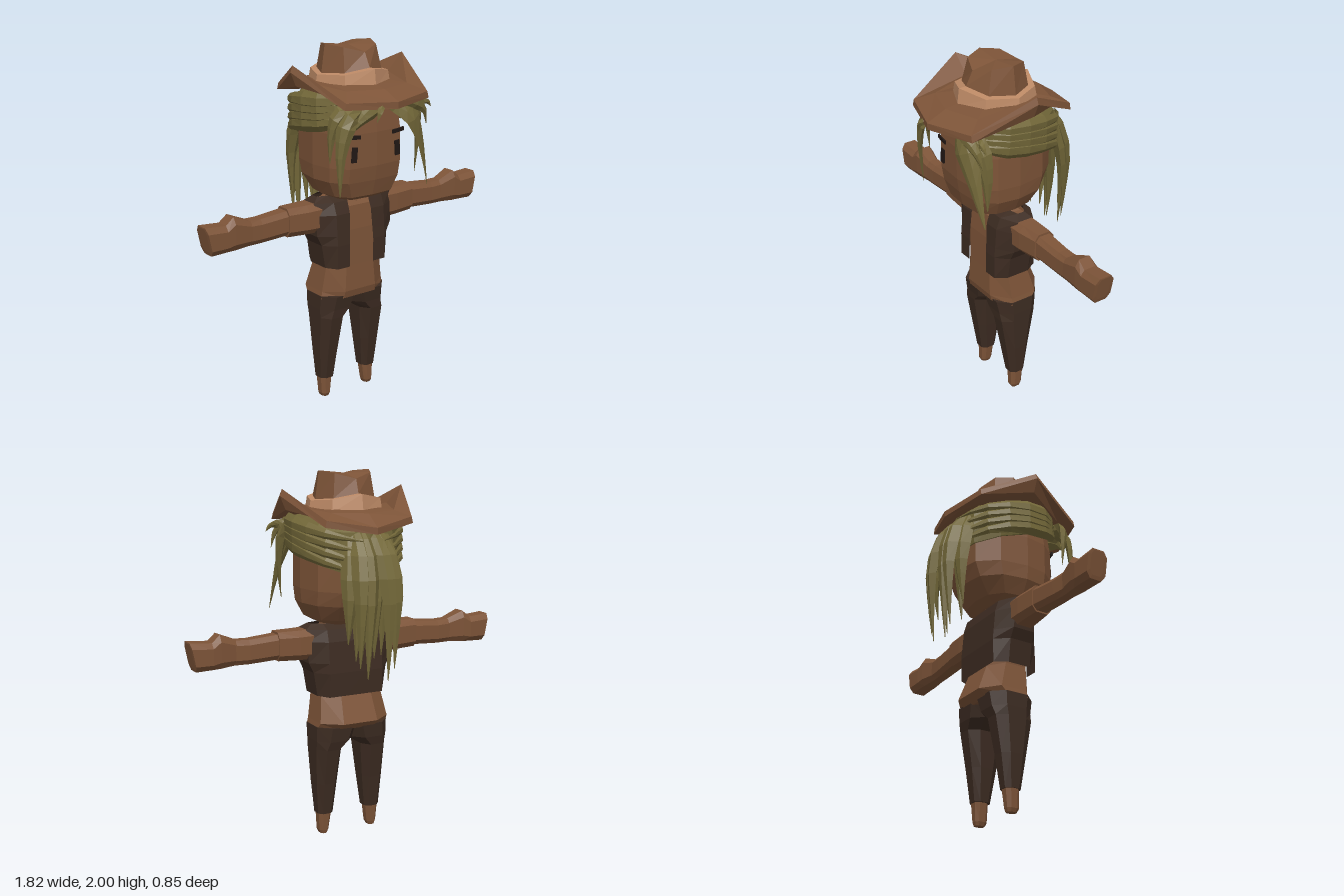
import * as THREE from 'three';

const mat = (name, color, side = THREE.FrontSide) => {
  const m = new THREE.MeshStandardMaterial({ color, side });
  m.name = name;
  return m;
};
const V = (x, y, z) => new THREE.Vector3(x, y, z);

// Faceted solid through a list of rings; the facing is set from the signed volume.
function loft(rings, { caps = true, closed = true } = {}) {
  const tris = [], n = rings[0].length, last = closed ? n : n - 1;
  for (let r = 0; r < rings.length - 1; r++) {
    for (let i = 0; i < last; i++) {
      const j = (i + 1) % n;
      const a = rings[r][i], b = rings[r][j], c = rings[r + 1][j], d = rings[r + 1][i];
      tris.push([a, b, c], [a, c, d]);
    }
  }
  const middle = (pts) => pts.reduce((s, p) => s.add(p), V(0, 0, 0)).divideScalar(pts.length);
  if (caps) {
    const first = rings[0], end = rings[rings.length - 1];
    const c0 = middle(first), c1 = middle(end);
    for (let i = 0; i < n; i++) {
      const j = (i + 1) % n;
      tris.push([c0, first[j], first[i]], [c1, end[i], end[j]]);
    }
  }
  const mid = middle(rings.flat());
  let volume = 0;
  for (const [a, b, c] of tris) {
    volume += a.clone().sub(mid).dot(b.clone().sub(mid).cross(c.clone().sub(mid)));
  }
  const pts = tris.flatMap(([a, b, c]) => (volume < 0 ? [a, c, b] : [a, b, c]));
  const g = new THREE.BufferGeometry().setFromPoints(pts);
  g.computeVertexNormals();
  return g;
}

// Chamfered rectangle in two dimensions
function oct(a0, a1, b0, b1, k = 0.25) {
  const p = (a1 - a0) * k, q = (b1 - b0) * k;
  return [[a0 + p, b0], [a1 - p, b0], [a1, b0 + q], [a1, b1 - q],
    [a1 - p, b1], [a0 + p, b1], [a0, b1 - q], [a0, b0 + q]];
}
const level = ([y, x0, x1, z0, z1]) => oct(x0, x1, z0, z1).map(([x, z]) => V(x, y, z));
const slice = ([x, y0, y1, z0, z1, lean = 0], s) =>
  oct(y0, y1, z0, z1, 0.2).map(([y, z]) => V(s * (x + lean * (y - y0)), y, z));

// Ring from a half outline of [x, z] fractions, mirrored in x
const HEAD = [[0, 1], [0.66, 0.95], [0.93, 0.6], [1, 0.1], [0.9, -0.5], [0.55, -0.9], [0, -1]];
function headRing(y, rx, zf, zb, lift = () => 0) {
  const outline = [...HEAD, ...HEAD.slice(1, -1).reverse().map(([x, z]) => [-x, z])];
  return outline.map(([x, f]) => {
    const z = f * (f > 0 ? zf : zb);
    return V(x * rx, y + lift(z), z);
  });
}

// Flat tapering lock of hair lying around the head
function lock(points, width, thick = 0.025) {
  const curve = new THREE.CatmullRomCurve3(points.map((p) => V(...p)));
  const rings = [];
  for (let i = 0; i <= 7; i++) {
    const t = i / 7, p = curve.getPoint(t);
    const out = V(p.x, 0, p.z).normalize();
    const across = curve.getTangent(t).cross(out).normalize();
    const size = Math.min(1, 0.55 + t * 1.8) * Math.min(1, 0.04 + (1 - t) * 1.7);
    const at = (u, v) => p.clone().addScaledVector(across, u * width * size / 2).addScaledVector(out, v * thick * size);
    rings.push([at(-1, -0.3), at(-0.35, 1), at(0.45, 0.8), at(1, -0.3), at(0, -0.8)]);
  }
  return loft(rings);
}

export function createModel() {
  const model = new THREE.Group();
  model.name = 'cowhand';
  const brown = mat('brown', 0x7d5438);
  const dark = mat('dark leather', 0x3d2c22, THREE.DoubleSide);
  const blond = mat('dull blond', 0x736839);
  const tan = mat('tan', 0xbd8a66);
  const black = mat('eye black', 0x211815);
  const add = (name, geometry, material) => {
    const m = new THREE.Mesh(geometry, material);
    m.name = name;
    model.add(m);
    return m;
  };

  // Legs, feet and arms, mirrored
  for (const s of [1, -1]) {
    const side = s > 0 ? 'left' : 'right';
    const limb = (rows) => loft(rows.map((r) => level(r).map((p) => V(p.x * s, p.y, p.z))));
    add(side + 'TrouserLeg', limb([
      [0.12, 0.1, 0.19, -0.075, 0.02], [0.3, 0.08, 0.203, -0.1, 0.05], [0.5, 0.06, 0.212, -0.135, 0.085],
      [0.55, 0, 0.214, -0.15, 0.09], [0.63, -0.03, 0.214, -0.16, 0.105]]), dark);
    add(side + 'Foot', limb([
      [0, 0.13, 0.17, -0.055, 0.0], [0.02, 0.122, 0.178, -0.06, 0.01], [0.13, 0.108, 0.185, -0.07, 0.012]]), brown);
    const arm = (rows) => loft(rows.map((r) => slice(r, s)));
    add(side + 'Sleeve', arm([
      [0.15, 1.0, 1.17, -0.08, 0.07], [0.3, 1.005, 1.165, -0.08, 0.065], [0.42, 1.01, 1.165, -0.07, 0.052]]), brown);
    add(side + 'Forearm', arm([
      [0.4, 1.02, 1.155, -0.065, 0.045], [0.58, 1.01, 1.14, -0.055, 0.04], [0.7, 1.01, 1.145, -0.045, 0.04]]), brown);
    add(side + 'Hand', arm([
      [0.64, 1.012, 1.14, -0.045, 0.04], [0.745, 1.004, 1.183, -0.065, 0.048], [0.79, 1.003, 1.145, -0.07, 0.048],
      [0.88, 1.0, 1.155, -0.068, 0.048, 0.2], [0.886, 1.02, 1.148, -0.05, 0.03, 0.2]]), brown);
  }

  // Shirt and neck
  add('shirt', loft([
    [0.615, -0.213, 0.213, -0.15, 0.105], [0.655, -0.205, 0.205, -0.195, 0.115], [0.8, -0.183, 0.183, -0.14, 0.11],
    [1.0, -0.19, 0.19, -0.125, 0.105], [1.13, -0.2, 0.2, -0.11, 0.09], [1.193, -0.13, 0.13, -0.06, 0.04]].map(level)), brown);
  add('neck', new THREE.CylinderGeometry(0.075, 0.09, 0.1, 8).toNonIndexed().translate(0, 1.18, -0.01), brown)
    .geometry.computeVertexNormals();

  // Open vest: rows of y, half width, front z, back z, front opening
  const vest = [
    [0.8, 0.2, 0.125, -0.14, 0.08], [0.93, 0.222, 0.125, -0.145, 0.08], [0.985, 0.25, 0.12, -0.14, 0.078],
    [1.1, 0.258, 0.112, -0.13, 0.072], [1.165, 0.257, 0.088, -0.11, 0.07], [1.192, 0.215, 0.025, -0.06, 0.07]];
  add('vest', loft(vest.map(([y, w, f, b, open]) => {
    const half = [[open, f], [0.16, f], [w, f * 0.5], [w, b * 0.5], [0.16, b], [0.06, b]];
    return [...half, ...half.slice().reverse().map(([x, z]) => [-x, z])].map(([x, z]) => V(x, y, z));
  }), { caps: false, closed: false }), dark);

  // Head
  add('head', loft([
    headRing(1.185, 0.14, 0.16, 0.1), headRing(1.215, 0.2, 0.215, 0.16), headRing(1.3, 0.245, 0.238, 0.235),
    headRing(1.38, 0.252, 0.25, 0.27), headRing(1.56, 0.25, 0.25, 0.275), headRing(1.68, 0.235, 0.235, 0.25),
    headRing(1.78, 0.17, 0.17, 0.18)]), brown);

  // Eyes and brows
  for (const s of [1, -1]) {
    const eye = add('eye', new THREE.BoxGeometry(0.032, 0.08, 0.009), black);
    eye.position.set(s * 0.142, 1.455, 0.243);
    eye.rotation.set(0, s * 0.076, s * 0.08);
    const brow = add('brow', new THREE.BoxGeometry(0.085, 0.02, 0.009), black);
    brow.position.set(s * 0.148, 1.548, 0.242);
    brow.rotation.set(0, s * 0.15, s * 0.06);
  }

  // Hair cap, lifted over the forehead
  const lift = (k) => (z) => k * z + (z > 0 ? 3.3 * k * z * z : 0);
  add('hairCap', loft([
    headRing(1.57, 0.262, 0.255, 0.285, lift(0.32)), headRing(1.64, 0.28, 0.275, 0.3, lift(0.2)),
    headRing(1.72, 0.265, 0.27, 0.29, lift(0.08)), headRing(1.79, 0.19, 0.2, 0.2)]), blond);

  // Locks swept along both sides to the back
  for (const s of [1, -1]) {
    for (let k = 0; k < 4; k++) {
      const y = 1.735 - k * 0.035;
      add('sideLock', lock([
        [s * (0.13 + k * 0.03), y + 0.01, 0.28 - k * 0.02], [s * 0.27, y - 0.005, 0.14], [s * 0.285, y - 0.02 - k * 0.005, -0.05],
        [s * 0.21, y - 0.05 - k * 0.014, -0.24], [s * 0.06, y - 0.08 - k * 0.02, -0.33]], 0.1, 0.02), blond);
    }
  }

  // Fringe locks
  const fringe = [
    [[[0.04, 1.74, 0.27], [0.16, 1.67, 0.31], [0.24, 1.5, 0.31], [0.315, 1.235, 0.29]], 0.14],
    [[[0.1, 1.74, 0.27], [0.23, 1.66, 0.27], [0.27, 1.5, 0.25], [0.265, 1.3, 0.24]], 0.11],
    [[[0.02, 1.75, 0.29], [0.16, 1.72, 0.32], [0.26, 1.66, 0.31], [0.3, 1.57, 0.29]], 0.08],
    [[[-0.08, 1.73, 0.27], [-0.22, 1.66, 0.3], [-0.27, 1.5, 0.3], [-0.27, 1.26, 0.29]], 0.1],
    [[[-0.12, 1.74, 0.27], [-0.25, 1.68, 0.26], [-0.285, 1.58, 0.24], [-0.29, 1.43, 0.23]], 0.08],
    [[[0.05, 1.73, 0.29], [-0.07, 1.7, 0.31], [-0.15, 1.65, 0.31], [-0.22, 1.57, 0.28]], 0.09],
    [[[-0.02, 1.72, 0.29], [-0.06, 1.73, 0.36], [-0.1, 1.7, 0.4], [-0.12, 1.65, 0.4]], 0.05],
    [[[0.2, 1.69, 0.24], [0.26, 1.7, 0.28], [0.3, 1.69, 0.29], [0.33, 1.66, 0.29]], 0.05]];
  for (const [points, width] of fringe) add('fringeLock', lock(points, width), blond);

  // Ponytail: spread, depth and tip height of each lock
  const tail = [
    [-0.14, -0.33, 1.1], [-0.1, -0.385, 0.98], [-0.06, -0.39, 0.92], [0, -0.345, 1.04],
    [0.06, -0.39, 0.94], [0.1, -0.38, 1.0], [0.14, -0.32, 1.12], [-0.07, -0.295, 1.04], [0.08, -0.295, 1.02]];
  for (const [x, z, tip] of tail) {
    add('ponytailLock', lock([
      [x * 0.6, 1.73, -0.22], [x * 0.75, 1.61, z * 0.75 - 0.04], [x * 0.95, 1.4, z - 0.005],
      [x, (1.4 + tip) / 2, z - 0.005], [x, tip, z + 0.01]], 0.11, 0.035), blond);
  }

  // Hat brim: right half outline of x, y, z from the front round to the back
  const full = (half) => [...half, ...half.slice(1, -1).reverse().map(([x, y, z]) => [-x, y, z])].map((p) => V(...p));
  const edge = [[0, 1.745, 0.42], [0.265, 1.755, 0.335], [0.36, 1.91, 0.01], [0.25, 1.765, -0.285], [0, 1.725, -0.365]];
  const under = [[0, 1.755, 0.32], [0.22, 1.75, 0.255], [0.34, 1.8, 0.01], [0.2, 1.75, -0.215], [0, 1.75, -0.28]];
  const shaped = (k, y, mix) => full(edge.map(([x, ey, z]) => [x * k, y + (ey - y) * mix, z * k]));
  const inner = shaped(0.48, 1.81, 0);
  add('hatBrim', loft([
    inner, shaped(0.74, 1.80, 0.12), full(edge), full(edge.map(([x, y, z]) => [x * 1.035, y - 0.035, z])),
    full(under), shaped(0.48, 1.765, 0), inner], { caps: false }), brown);

  // Hat band and crown with a creased top
  const eight = (rx, zf, zb, height) => Array.from({ length: 8 }, (_, i) => {
    const a = (i * Math.PI) / 4, x = Math.sin(a) * rx, c = Math.cos(a);
    return V(x, height(x), c * (c > 0 ? zf : zb));
  });
  const slope = (x) => 1.885 - 0.2 * Math.abs(x);
  add('hatBand', loft([
    eight(0.21, 0.24, 0.215, () => 1.79), eight(0.2, 0.228, 0.2, slope),
    eight(0.16, 0.175, 0.155, slope)]), tan);
  add('hatCrown', loft([
    eight(0.18, 0.195, 0.17, () => 1.8), eight(0.172, 0.185, 0.16, slope),
    eight(0.15, 0.145, 0.135, (x) => 1.96 + 0.04 * Math.abs(x) / 0.15)]), brown);

  return model;
}
